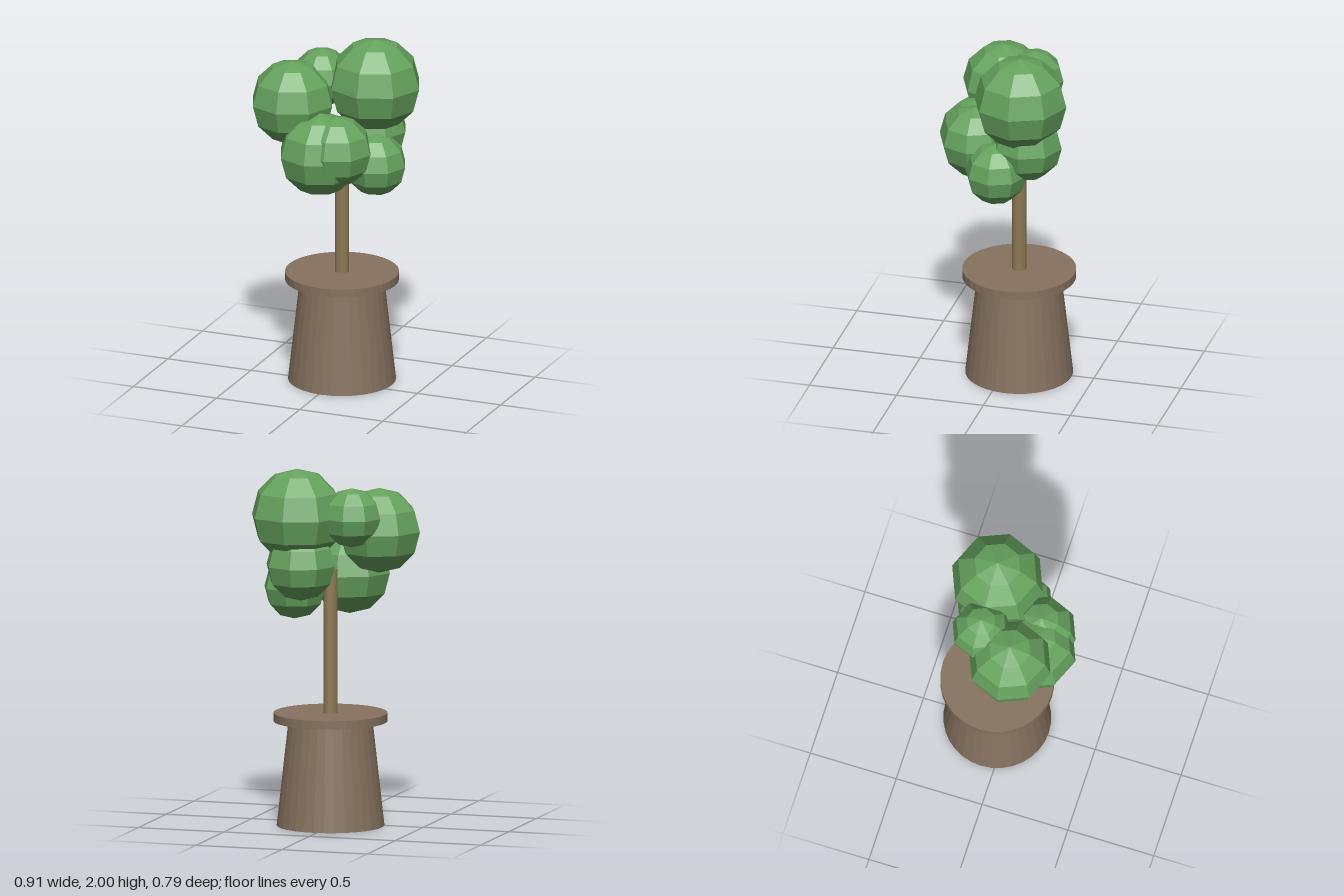
import * as THREE from 'three';

export function createModel() {
  const group = new THREE.Group();
  group.name = 'pottedTree';

  const material = (color) => new THREE.MeshStandardMaterial({ color, flatShading: true });
  const clay = material(0x86725f);
  const bark = material(0x8e7a54);
  const leaf = material(0x66a35e);

  // The pot and trunk share one upright axis
  const axisX = 0.016, axisZ = -0.075;
  const addRound = (name, rTop, rBottom, y0, y1, mat) => {
    const mesh = new THREE.Mesh(new THREE.CylinderGeometry(rTop, rBottom, y1 - y0, 32), mat);
    mesh.name = name;
    mesh.position.set(axisX, (y0 + y1) / 2, axisZ);
    group.add(mesh);
  };
  addRound('pot', 0.233, 0.3, 0, 0.6, clay);
  addRound('potRim', 0.317, 0.317, 0.585, 0.632, clay);
  addRound('trunk', 0.04, 0.04, 0.6, 1.44, bark);

  // Faceted foliage balls: x, y, z, radius
  const crown = new THREE.Group();
  crown.name = 'crown';
  const balls = [
    [0.192, 1.737, -0.13, 0.264],
    [-0.22, 1.645, 0.073, 0.238],
    [-0.125, 1.74, -0.125, 0.166],
    [-0.02, 1.393, 0.157, 0.235],
    [0.085, 1.424, 0.16, 0.199],
    [0.248, 1.315, -0.005, 0.176],
    [0.162, 1.465, -0.16, 0.199],
  ];
  balls.forEach(([x, y, z, r], i) => {
    const ball = new THREE.Mesh(new THREE.SphereGeometry(r, 8, 6), leaf);
    ball.name = `foliageBall${i + 1}`;
    ball.position.set(x, y, z);
    crown.add(ball);
  });
  group.add(crown);

  return group;
}
